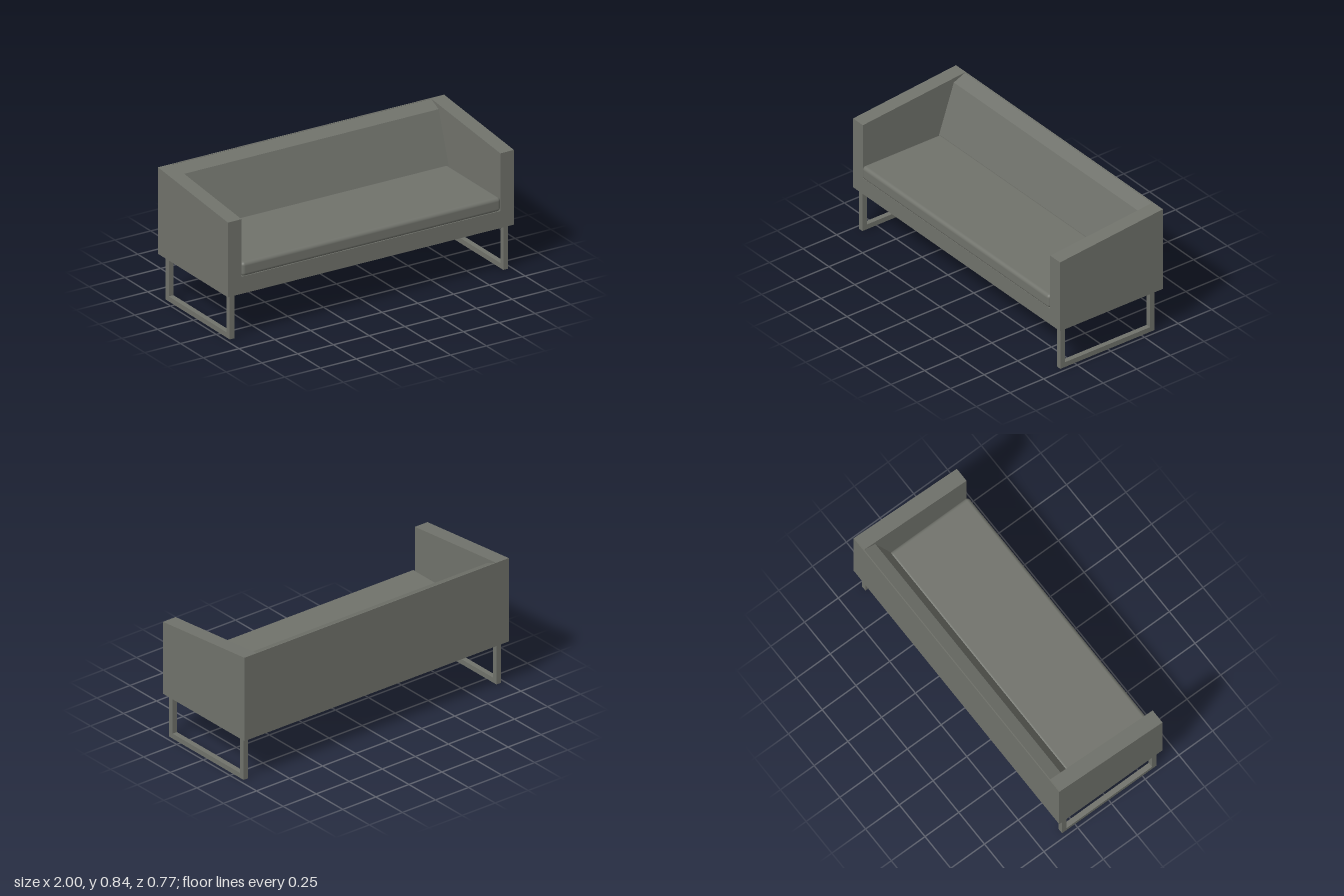
import * as THREE from 'three';
import { RoundedBoxGeometry } from 'three/addons/geometries/RoundedBoxGeometry.js';

// Extrude a side profile of [z, y] points between two x positions.
function sideProfile(points, x0, x1) {
  const shape = new THREE.Shape(points.map(([z, y]) => new THREE.Vector2(z, y)));
  const geometry = new THREE.ExtrudeGeometry(shape, { depth: x1 - x0, bevelEnabled: false });
  geometry.rotateY(-Math.PI / 2);
  geometry.translate(x1, 0, 0);
  return geometry;
}

export function createModel() {
  const sofa = new THREE.Group();
  sofa.name = 'sofa';
  const fabric = new THREE.MeshStandardMaterial({ color: 0x70726b });
  fabric.name = 'warm grey';

  const add = (name, geometry) => {
    const mesh = new THREE.Mesh(geometry, fabric);
    mesh.name = name;
    sofa.add(mesh);
    return mesh;
  };

  const bottom = 0.285, inner = 0.905, front = 0.378, back = -0.38;

  // Seat base between the arms
  add('seatBase', sideProfile(
    [[back, bottom], [front, bottom], [front, 0.395], [back, 0.395]], -inner, inner));

  // Thin panel across the whole back
  add('backPanel', sideProfile(
    [[-0.387, bottom], [back, bottom], [back, 0.84], [-0.387, 0.841]], -1, 1));

  // Reclined backrest with a top sloping forward
  add('backrest', sideProfile(
    [[back, 0.395], [-0.16, 0.395], [-0.19, 0.485], [-0.298, 0.802], [back, 0.838]], -inner, inner));

  // Seat cushion, slightly proud of the base
  add('seatCushion', new RoundedBoxGeometry(2 * inner, 0.09, 0.588, 5, 0.022))
    .position.set(0, 0.44, 0.094);

  // Arms with sloping tops, and U-shaped sled legs
  const armProfile = [[back, bottom], [front, bottom], [front, 0.765], [back, 0.84]];
  const legProfile = [
    [-0.345, 0], [0.355, 0], [0.355, bottom], [0.322, bottom],
    [0.322, 0.033], [-0.312, 0.033], [-0.312, bottom], [-0.345, bottom],
  ];
  for (const [side, sign] of [['left', 1], ['right', -1]]) {
    const span = (a, b) => (sign > 0 ? [a, b] : [-b, -a]);
    add(side + 'Arm', sideProfile(armProfile, ...span(inner, 1)));
    add(side + 'Leg', sideProfile(legProfile, ...span(0.94, 0.973)));
  }
  return sofa;
}
